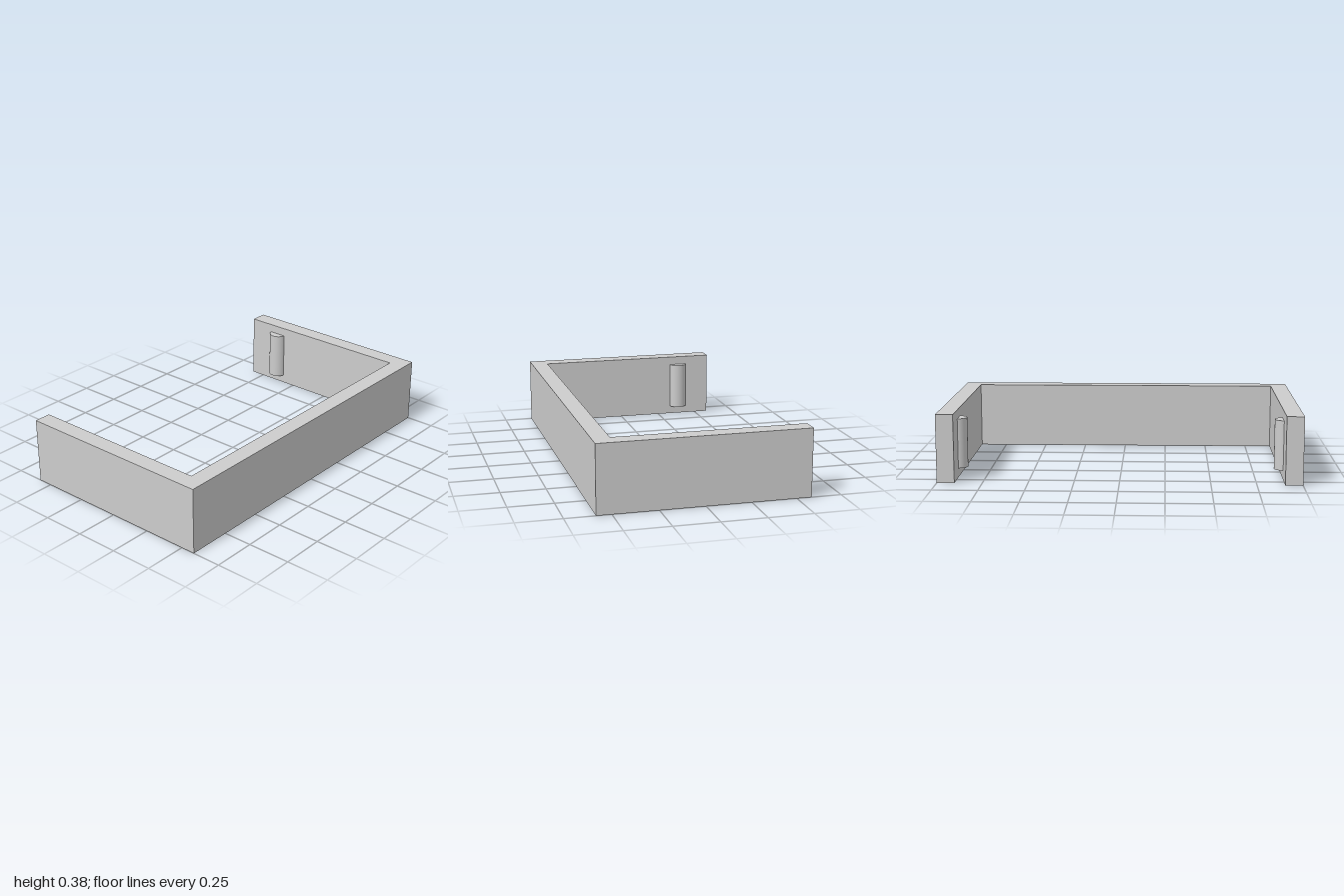
import * as THREE from 'three';

const HALF_W = 1, HALF_D = 0.583, HEIGHT = 0.38, WALL = 0.097;

export function createModel() {
  const group = new THREE.Group();
  group.name = 'clipBracket';
  const grey = new THREE.MeshStandardMaterial({ color: 0xcccccc });
  grey.name = 'lightGrey';

  // U-shaped frame, open at the back, extruded upwards
  const inX = HALF_W - WALL, inY = -HALF_D + WALL;
  const outline = new THREE.Shape([
    [-HALF_W, -HALF_D], [HALF_W, -HALF_D], [HALF_W, HALF_D], [inX, HALF_D],
    [inX, inY], [-inX, inY], [-inX, HALF_D], [-HALF_W, HALF_D],
  ].map(([x, y]) => new THREE.Vector2(x, y)));
  const frameGeometry = new THREE.ExtrudeGeometry(outline, { depth: HEIGHT, bevelEnabled: false });
  frameGeometry.rotateX(-Math.PI / 2);
  const frame = new THREE.Mesh(frameGeometry, grey);
  frame.name = 'frame';
  group.add(frame);

  // Half-round retaining ribs on the inner faces of both arms
  const radius = 0.054, ribHeight = 0.28;
  for (const side of [-1, 1]) {
    const start = side > 0 ? Math.PI : 0;
    const rib = new THREE.Mesh(
      new THREE.CylinderGeometry(radius, radius, ribHeight, 32, 1, false, start, Math.PI), grey);
    rib.name = side > 0 ? 'leftRib' : 'rightRib';
    rib.position.set(side * (inX + 0.007), HEIGHT / 2, -0.383);
    group.add(rib);
  }
  return group;
}
